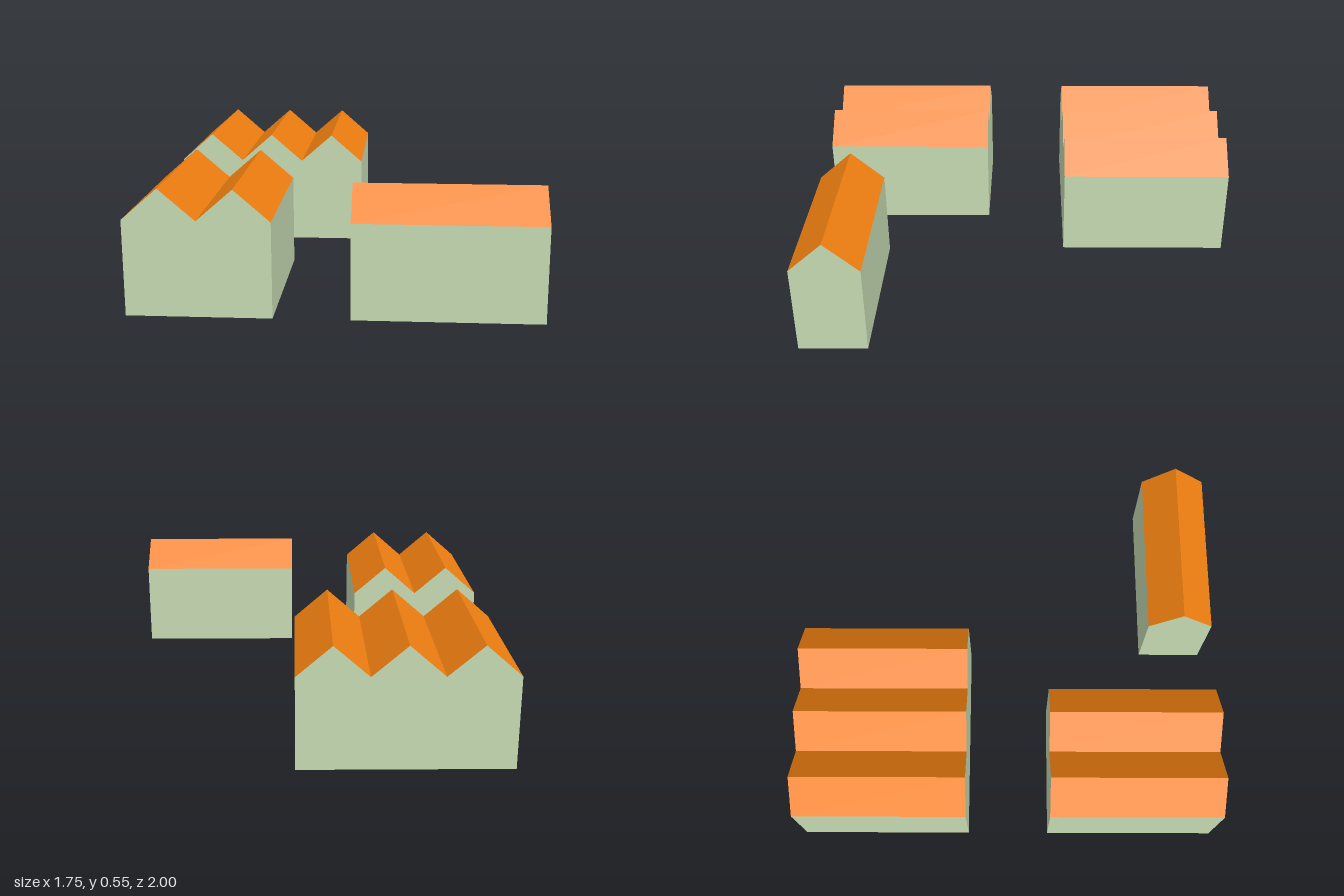
import * as THREE from 'three';

const EAVE = 0.415, RIDGE = 0.55, SPAN = 0.31, LENGTH = 0.805;
const wallMaterial = new THREE.MeshStandardMaterial({ color: 0xc8dcb4, flatShading: true });
const roofMaterial = new THREE.MeshStandardMaterial({ color: 0xf07f10, flatShading: true });

// Gabled prism centred on x and z, with its ridges along z
function gabledPrism(gables) {
  const half = (gables * SPAN) / 2;
  const outline = new THREE.Shape();
  outline.moveTo(-half, 0);
  outline.lineTo(half, 0);
  outline.lineTo(half, EAVE);
  for (let i = 0; i < gables; i++) {
    const x = half - i * SPAN;
    outline.lineTo(x - SPAN / 2, RIDGE);
    outline.lineTo(x - SPAN, EAVE);
  }
  outline.closePath();
  return new THREE.ExtrudeGeometry(outline, { depth: LENGTH, bevelEnabled: false })
    .translate(0, 0, -LENGTH / 2);
}

// Keeps only the triangles whose normal passes the test
function pickFaces(geometry, test) {
  const pos = geometry.attributes.position, nor = geometry.attributes.normal;
  const kept = [];
  for (let i = 0; i < pos.count; i += 3) {
    if (!test(nor.getY(i))) continue;
    for (let j = i; j < i + 3; j++) kept.push(pos.getX(j), pos.getY(j), pos.getZ(j));
  }
  const picked = new THREE.BufferGeometry();
  picked.setAttribute('position', new THREE.Float32BufferAttribute(kept, 3));
  picked.computeVertexNormals();
  return picked;
}

// Walls, gable ends and floor in one mesh, roof slopes in another
function createHouse(name, gables) {
  const house = new THREE.Group();
  house.name = name;
  const prism = gabledPrism(gables);
  const walls = new THREE.Mesh(pickFaces(prism, (ny) => ny < 0.1), wallMaterial);
  walls.name = 'walls';
  const roof = new THREE.Mesh(pickFaces(prism, (ny) => ny >= 0.1), roofMaterial);
  roof.name = 'roof';
  house.add(walls, roof);
  return house;
}

export function createModel() {
  const model = new THREE.Group();
  model.name = 'houses';
  const left = -0.875, edge = 1 - LENGTH / 2;

  // Three-gable house at the back
  const triple = createHouse('tripleHouse', 3);
  triple.position.set(left + 1.5 * SPAN, 0, -edge);

  // Two-gable house at the front
  const double = createHouse('doubleHouse', 2);
  double.position.set(left + SPAN, 0, edge);

  // Single house turned sideways
  const single = createHouse('singleHouse', 1);
  single.rotation.y = Math.PI / 2;
  single.position.set(0.875 - LENGTH / 2, 0, 1 - SPAN / 2);

  model.add(triple, double, single);
  return model;
}
